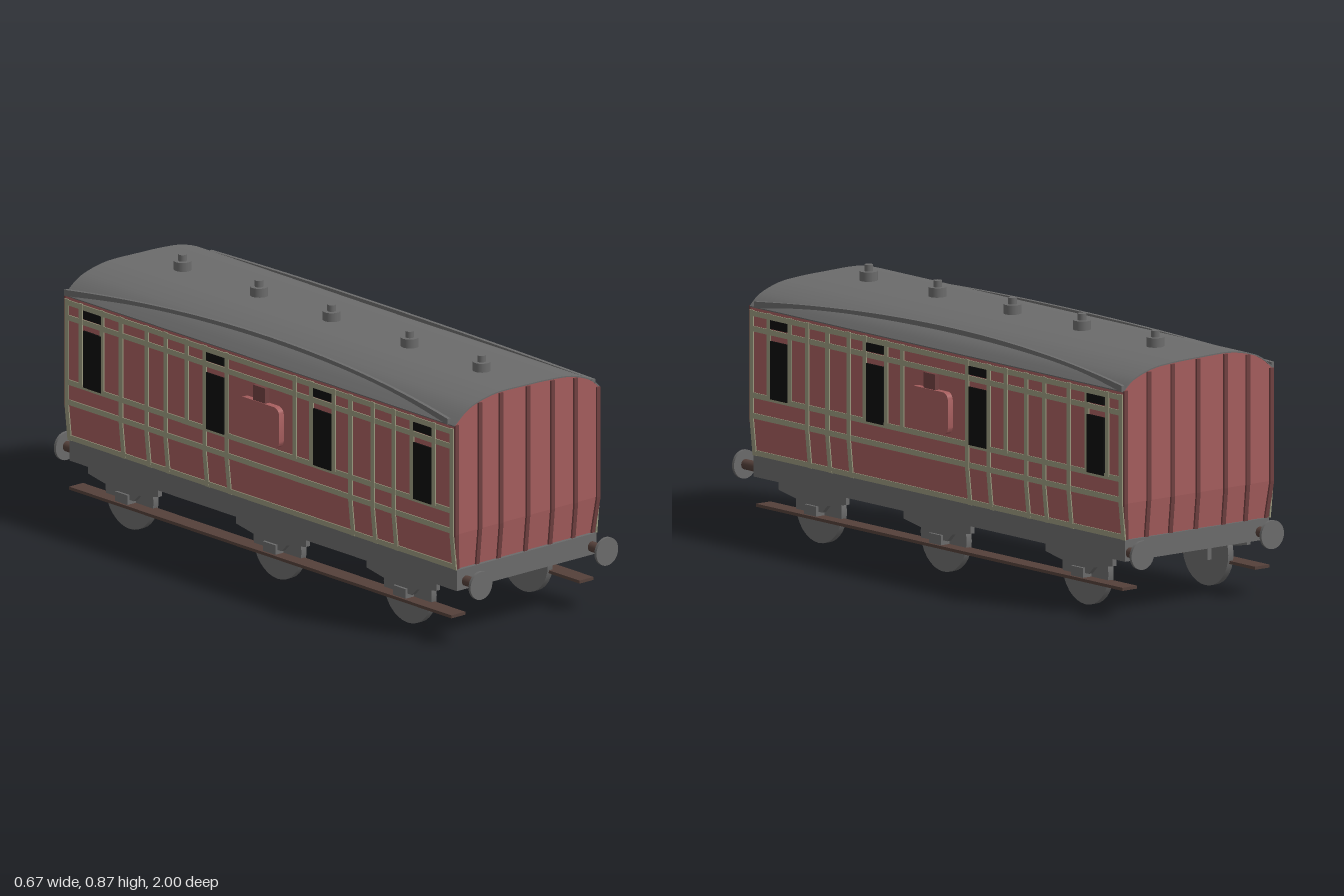
import * as THREE from 'three';
import { toCreasedNormals } from 'three/addons/utils/BufferGeometryUtils.js';

const material = (name, color) => {
  const m = new THREE.MeshStandardMaterial({ color });
  m.name = name;
  return m;
};

export function createModel() {
  const red = material('coach red', 0xa55d5d);
  const ribRed = material('rib maroon', 0x704040);
  const grey = material('grey', 0x6b6b6b);
  const trim = material('sage trim', 0x9a997e);
  const black = material('window black', 0x0c0c0c);
  const brown = material('dark brown', 0x54403a);

  const model = new THREE.Group();
  model.name = 'railwayCarriage';
  const add = (name, geo, mat, x = 0, y = 0, z = 0) => {
    const mesh = new THREE.Mesh(geo, mat);
    mesh.name = name;
    mesh.position.set(x, y, z);
    model.add(mesh);
    return mesh;
  };
  const box = (name, mat, x0, x1, y0, y1, z0, z1) =>
    add(name, new THREE.BoxGeometry(Math.abs(x1 - x0), y1 - y0, z1 - z0), mat,
      (x0 + x1) / 2, (y0 + y1) / 2, (z0 + z1) / 2);
  const extrude = (points, depth, z0) => {
    const shape = new THREE.Shape(points.map(p => new THREE.Vector2(p[0], p[1])));
    return new THREE.ExtrudeGeometry(shape, { depth, bevelEnabled: false }).translate(0, 0, z0);
  };
  // Outline drawn in (z, y), given thickness along x
  const slab = (points, x0, x1) => extrude(points, x1 - x0, -x1).rotateY(-Math.PI / 2);
  const moveVertices = (geo, rule) => {
    const p = geo.attributes.position, v = new THREE.Vector3();
    for (let i = 0; i < p.count; i++) {
      rule(v.fromBufferAttribute(p, i));
      p.setXYZ(i, v.x, v.y, v.z);
    }
    geo.computeVertexNormals();
    return geo;
  };

  // Main dimensions: walls taper inwards below the knee
  const W = 0.3125, FRONT = 0.925, BACK = -0.94, LEN = FRONT - BACK, MID = (FRONT + BACK) / 2;
  const FLOOR = 0.25, KNEE = 0.37, EAVE = 0.735;
  const inset = y => (y < KNEE ? 0.0125 * (KNEE - y) / (KNEE - FLOOR) : 0);
  const roofCurve = new THREE.SplineCurve([
    [-W, EAVE], [-0.27, 0.77], [-0.22, 0.793], [-0.13, 0.81], [0, 0.809], [0.1, 0.806],
    [0.19, 0.797], [0.27, 0.77], [W, EAVE],
  ].map(p => new THREE.Vector2(...p)));
  const arc = roofCurve.getPoints(32).map(p => [p.x, p.y]);
  const roofY = x => {
    const i = Math.max(1, arc.findIndex(p => p[0] >= x));
    const [a, b] = [arc[i - 1], arc[i]];
    return a[1] + (b[1] - a[1]) * (x - a[0]) / (b[0] - a[0]);
  };

  // Body, tapered skirt and roof skin
  add('body', extrude([[W, KNEE], ...arc.slice().reverse(), [-W, KNEE]], LEN, BACK), red);
  const skirt = new THREE.BoxGeometry(2 * W, KNEE - FLOOR, LEN);
  moveVertices(skirt, v => {
    if (v.y < 0) { v.x -= Math.sign(v.x) * 0.0125; v.z -= Math.sign(v.z) * 0.0125; }
  });
  add('skirt', skirt, red, 0, (KNEE + FLOOR) / 2, MID);
  const skin = [...arc.map(p => [p[0] * 1.005, p[1] + 0.004]), ...arc.slice().reverse()];
  add('roof', toCreasedNormals(extrude(skin, LEN + 0.004, BACK - 0.002), 0.6), grey);

  // Roof ventilators
  for (const z of [0.72, 0.375, 0, -0.348, -0.715]) {
    add('ventilatorBase', new THREE.CylinderGeometry(0.029, 0.029, 0.045, 20), grey, -0.01, 0.821, z);
    add('ventilatorCap', new THREE.CylinderGeometry(0.014, 0.014, 0.03, 16), grey, -0.01, 0.85, z);
  }

  // Ribs on both ends, following the taper
  for (const [end, face] of [[1, FRONT], [-1, BACK]]) {
    for (const x of [-0.305, -0.205, -0.113, 0.002, 0.108, 0.208, 0.305]) {
      const top = roofY(x) - 0.002, out = end * 0.007;
      const low = face - end * inset(FLOOR);
      const rib = slab([[low, FLOOR], [face, KNEE], [face, top],
        [face + out, top], [face + out, KNEE], [low + out, FLOOR]], x - 0.0075, x + 0.0075);
      if (Math.abs(x) > 0.3) {
        moveVertices(rib, v => { if (v.y < 0.3) v.x -= Math.sign(x) * 0.0125; });
      }
      add('endRib', rib, ribRed);
    }
  }

  // Thin plate lying on a side wall
  const plate = (name, mat, s, y0, y1, z0, z1, t) => {
    const ys = y0 < KNEE && y1 > KNEE ? [y0, KNEE, y1] : [y0, y1];
    const inner = ys.map(y => [s * (W - inset(y) - 0.001), y]);
    const outer = ys.map(y => [s * (W - inset(y) + t), y]).reverse();
    add(name, extrude([...inner, ...outer], z1 - z0, z0), mat);
  };
  const tallBands = [0.916, 0.638, 0.537, 0.43, -0.163, -0.27, -0.457, -0.548, -0.671, -0.931];
  const shortBands = [0.83, 0.725, 0.35, 0.243, 0.163, -0.356, -0.762, -0.864];
  const discs = (name, mat, r, len, x, y, z) =>
    add(name, new THREE.CylinderGeometry(r, r, len, 32).rotateX(Math.PI / 2), mat, x, y, z);

  for (const s of [1, -1]) {
    // Panel trim
    for (const z of tallBands) plate('verticalTrim', trim, s, FLOOR, 0.728, z - 0.009, z + 0.009, 0.004);
    for (const z of shortBands) plate('verticalTrim', trim, s, 0.45, 0.728, z - 0.009, z + 0.009, 0.004);
    for (const y of [0.717, 0.667, 0.45, 0.383, 0.26]) {
      plate('horizontalTrim', trim, s, y - 0.009, y + 0.009, BACK, FRONT, 0.0035);
    }
    // Windows with small lights above
    for (const z of [0.778, 0.297, -0.217, -0.807]) {
      plate('window', black, s, 0.45, 0.64, z - 0.043, z + 0.043, 0.006);
      plate('topLight', black, s, 0.68, 0.708, z - 0.043, z + 0.043, 0.006);
    }

    // Rounded side lookout and its cap
    const z0 = -0.088, z1 = 0.108, y0 = 0.47, y1 = 0.607, r = 0.025;
    const outline = [];
    for (const [cz, cy, a] of [[z1 - r, y1 - r, 0], [z0 + r, y1 - r, 1], [z0 + r, y0 + r, 2], [z1 - r, y0 + r, 3]]) {
      for (let i = 0; i <= 5; i++) {
        const t = (a + i / 5) * Math.PI / 2;
        outline.push([cz + r * Math.cos(t), cy + r * Math.sin(t)]);
      }
    }
    const [lo, hi] = s > 0 ? [0.3, 0.333] : [-0.333, -0.3];
    add('lookout', toCreasedNormals(slab(outline, lo, hi), 0.6), red);
    box('lookoutCap', ribRed, s * 0.3, s * 0.33, 0.6, 0.658, -0.02, 0.038);

    // Curved rain strip on the roof
    const strip = new THREE.BoxGeometry(0.012, 0.02, 1.84, 1, 1, 28);
    moveVertices(strip, v => {
      const bow = 1 - (v.z / 0.92) ** 2;
      v.x += s * (0.312 - 0.066 * bow);
      v.y += 0.747 + 0.042 * bow;
    });
    add('rainStrip', strip, grey, 0, 0, -0.02);

    // Footboard
    box('footboard', brown, s * 0.246, s * 0.306, 0.085, 0.095, -0.93, 0.905);

    // Wheels, axle boxes and spring hangers
    for (const z of [0.645, 0.02, -0.69]) {
      const wheel = discs('wheel', grey, 0.115, 0.022, s * 0.25, 0.115, z);
      wheel.rotation.y = Math.PI / 2;
      box('axleBox', grey, s * 0.223, s * 0.297, 0.088, 0.127, z - 0.03, z + 0.03);
      const half = [[0.168, 0.185], [0.168, 0.152], [0.075, 0.135], [0.05, 0.11]];
      const hanger = [...half, ...half.map(p => [-p[0], p[1]]).reverse()].map(p => [p[0] + z, p[1]]);
      const [a, b] = s > 0 ? [0.272, 0.288] : [-0.288, -0.272];
      add('springHanger', slab(hanger, a, b), grey);
    }

    // Buffers at both ends
    for (const end of [1, -1]) {
      const x = s > 0 ? 0.28 : -0.262;
      discs('bufferShaft', brown, 0.017, 0.08, x, 0.208, end * 0.955);
      discs('bufferHead', grey, 0.047, 0.01, x, 0.208, end * 0.995);
    }
  }

  // Underframe
  box('underframe', grey, -0.3, 0.3, 0.18, FLOOR, BACK + 0.005, FRONT);
  return model;
}
